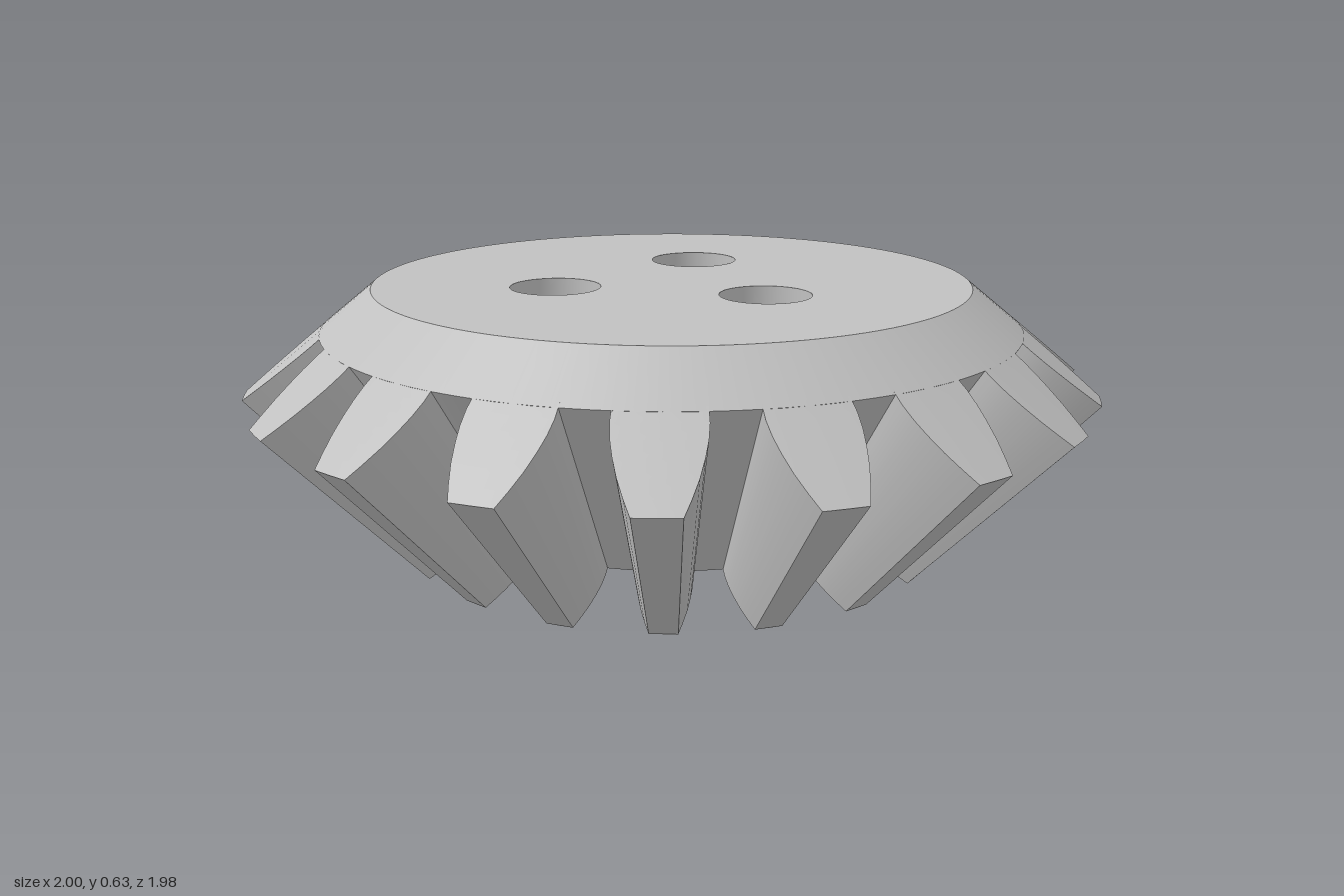
import * as THREE from 'three';
import { toCreasedNormals } from 'three/addons/utils/BufferGeometryUtils.js';

const TEETH = 18, APEX = -0.676, INNER = 0.64, SEG = 128;
const ROOT = 0.82, TOP_R = 0.7, FLOOR_R = 0.475;

// Height on the back cone; everything tapers from it towards the apex by scale s
const coneY = (r, s) => APEX + s * (0.625 - (r - TOP_R) * 0.8167 - APEX);

// Tooth outline: radius and half width
const PROFILE = [[0.81, 0.091], [0.84, 0.094], [0.87, 0.092], [0.9, 0.086],
  [0.935, 0.076], [0.97, 0.062], [1.0, 0.048]];

function toothGeometry() {
  const pos = [];
  const point = (i, side, s) => {
    const [r, w] = PROFILE[i];
    const t = side * w / r;
    return [r * s * Math.cos(t), coneY(r, s), r * s * Math.sin(t)];
  };
  const quad = (a, b, c, d) => pos.push(...a, ...b, ...c, ...a, ...c, ...d);
  const last = PROFILE.length - 1;
  for (let i = 0; i < last; i++) {
    const k = i + 1;
    for (const [m, n] of [[-1, 0], [0, 1]]) {
      // outer and inner end faces
      quad(point(i, n, 1), point(k, n, 1), point(k, m, 1), point(i, m, 1));
      quad(point(i, m, INNER), point(k, m, INNER), point(k, n, INNER), point(i, n, INNER));
    }
    // curved flanks
    quad(point(i, 1, INNER), point(k, 1, INNER), point(k, 1, 1), point(i, 1, 1));
    quad(point(i, -1, 1), point(k, -1, 1), point(k, -1, INNER), point(i, -1, INNER));
  }
  // tip land
  quad(point(last, 1, INNER), point(last, -1, INNER), point(last, -1, 1), point(last, 1, 1));
  const g = new THREE.BufferGeometry();
  g.setAttribute('position', new THREE.Float32BufferAttribute(pos, 3));
  return toCreasedNormals(g, 0.5);
}

export function createModel() {
  const group = new THREE.Group();
  const steel = new THREE.MeshStandardMaterial({ color: 0xc0c0c0, side: THREE.DoubleSide });
  steel.name = 'grey steel';
  const add = (geometry, name) => {
    const mesh = new THREE.Mesh(geometry, steel);
    mesh.name = name;
    group.add(mesh);
    return mesh;
  };

  // Conical body surfaces, kept separate for sharp rims
  const floorY = coneY(FLOOR_R / INNER, INNER), topY = coneY(TOP_R, 1);
  const rim = [
    [FLOOR_R, floorY],
    [ROOT * INNER, coneY(ROOT, INNER)],
    [ROOT, coneY(ROOT, 1)],
    [TOP_R, topY],
  ].map(([r, y]) => new THREE.Vector2(r, y));
  ['innerCone', 'rootCone', 'backCone'].forEach((name, i) =>
    add(new THREE.LatheGeometry([rim[i], rim[i + 1]], SEG), name));

  // Flat discs with three bolt holes
  const holes = [90, 210, 330].map(a => {
    const t = THREE.MathUtils.degToRad(a);
    return [0.2825 * Math.cos(t), 0.2825 * Math.sin(t)];
  });
  const disc = (radius, y, up, name) => {
    const shape = new THREE.Shape().absarc(0, 0, radius, 0, Math.PI * 2);
    for (const [x, z] of holes) {
      shape.holes.push(new THREE.Path().absarc(x, -up * z, 0.105, 0, Math.PI * 2, true));
    }
    const g = new THREE.ShapeGeometry(shape, SEG / 2);
    g.rotateX(-up * Math.PI / 2);
    add(g, name).position.y = y;
  };
  disc(TOP_R, topY, 1, 'topDisc');
  disc(FLOOR_R, floorY, -1, 'bottomDisc');

  // Hole walls
  const wall = new THREE.CylinderGeometry(0.105, 0.105, topY - floorY, 48, 1, true);
  for (const [x, z] of holes) add(wall, 'holeWall').position.set(x, (topY + floorY) / 2, z);

  // Ring of tapering teeth
  const tooth = toothGeometry();
  for (let i = 0; i < TEETH; i++) add(tooth, 'tooth').rotation.y = i * Math.PI * 2 / TEETH;

  return group;
}
